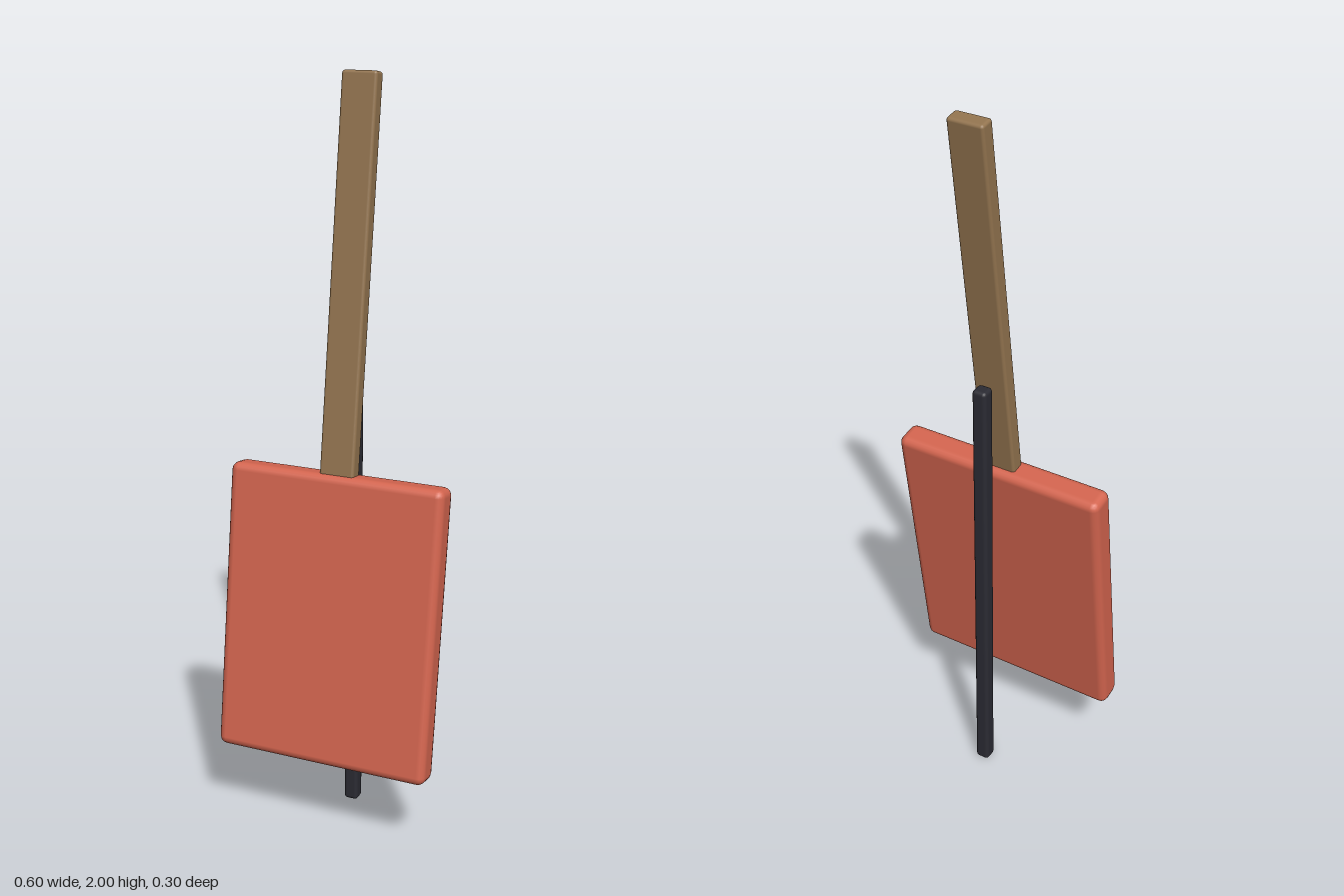
import * as THREE from 'three';
import { RoundedBoxGeometry } from 'three/addons/geometries/RoundedBoxGeometry.js';

const TILT = -THREE.MathUtils.degToRad(8);

export function createModel() {
  const model = new THREE.Group();
  model.name = 'shovel';

  const material = (name, color) => {
    const m = new THREE.MeshStandardMaterial({ color });
    m.name = name;
    return m;
  };
  const coral = material('coral red', 0xd4654f);
  const wood = material('brown wood', 0x947550);
  const dark = material('dark metal', 0x2b2b33);

  // Softly rounded box, leaning back by tilt
  const addBox = (name, mat, size, radius, position, tilt = 0) => {
    const mesh = new THREE.Mesh(new RoundedBoxGeometry(...size, 2, radius), mat);
    mesh.name = name;
    mesh.position.set(...position);
    mesh.rotation.x = tilt;
    model.add(mesh);
  };

  // Wide flat body
  addBox('body', coral, [0.6, 0.787, 0.08], 0.022, [0, 0.604, 0.06], TILT);

  // Long neck continuing the lean of the body
  addBox('neck', wood, [0.096, 1.021, 0.042], 0.008, [0, 1.492, -0.061], TILT);

  // Upright rod standing behind
  addBox('supportRod', dark, [0.04, 1.275, 0.04], 0.01, [0, 0.6375, -0.086]);

  return model;
}
